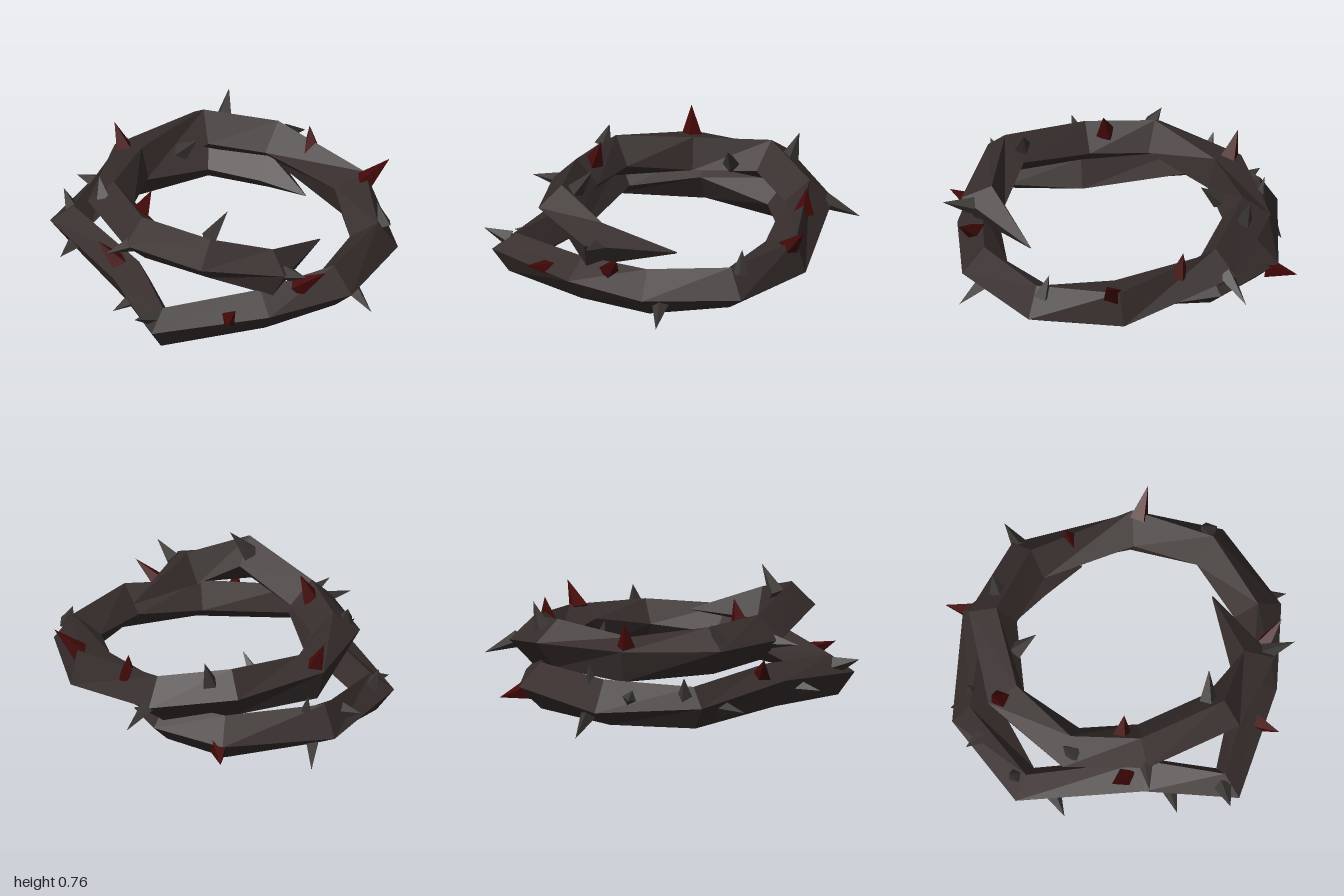
import * as THREE from 'three';

const bark = new THREE.MeshStandardMaterial({ name: 'darkBark', color: 0x372e2d, flatShading: true });
const greyThorn = new THREE.MeshStandardMaterial({ name: 'greyThorn', color: 0x3b3735, flatShading: true });
const redThorn = new THREE.MeshStandardMaterial({ name: 'redThorn', color: 0x440909, flatShading: true });

// Vine stations: x, y, z, radius, twist in degrees. Two turns, pointed at both ends.
const STATIONS = [
  [0.57, 0.41, -0.14, 0.004, 15],
  [0.63, 0.45, 0.31, 0.13, 20],
  [0.37, 0.54, 0.54, 0.13, 0],
  [-0.11, 0.46, 0.55, 0.13, 0],
  [-0.48, 0.45, 0.41, 0.13, 8],
  [-0.7, 0.41, 0.0, 0.13, 30],
  [-0.6, 0.44, -0.46, 0.135, 8],
  [-0.29, 0.37, -0.72, 0.135, 0],
  [0.31, 0.31, -0.7, 0.14, -30],
  [0.68, 0.28, -0.46, 0.135, -10],
  [0.79, 0.27, -0.02, 0.135, 0],
  [0.62, 0.24, 0.38, 0.12, 8],
  [0.28, 0.19, 0.83, 0.115, 10],
  [-0.13, 0.2, 0.62, 0.12, 20],
  [-0.76, 0.19, 0.43, 0.115, 8],
  [-0.86, 0.2, -0.05, 0.14, -15],
  [-0.62, 0.2, -0.54, 0.13, 0],
  [-0.27, 0.2, -0.66, 0.108, 0],
  [0.0, 0.17, -0.65, 0.004, 0],
];

// Square-section vine swept through the stations
function vineGeometry() {
  const sides = 4, pos = [], index = [];
  const pts = STATIONS.map(s => new THREE.Vector3(s[0], s[1], s[2]));
  const up = new THREE.Vector3(0, 1, 0);
  pts.forEach((p, i) => {
    const before = p.clone().sub(pts[Math.max(i - 1, 0)]).normalize();
    const after = pts[Math.min(i + 1, pts.length - 1)].clone().sub(p).normalize();
    const t = before.add(after).normalize();
    const out = up.clone().cross(t).normalize();
    const top = t.clone().cross(out);
    const [, , , r, twist] = STATIONS[i];
    for (let k = 0; k < sides; k++) {
      const a = k * 2 * Math.PI / sides + THREE.MathUtils.degToRad(twist);
      const v = p.clone().addScaledVector(out, r * Math.cos(a)).addScaledVector(top, r * Math.sin(a));
      pos.push(v.x, v.y, v.z);
    }
  });
  for (let i = 0; i < pts.length - 1; i++) {
    for (let k = 0; k < sides; k++) {
      const a = i * sides + k, b = i * sides + (k + 1) % sides;
      index.push(a, b, a + sides, b, b + sides, a + sides);
    }
  }
  const last = (pts.length - 1) * sides;
  index.push(0, 2, 1, 0, 3, 2, last, last + 1, last + 2, last, last + 2, last + 3);
  const g = new THREE.BufferGeometry();
  g.setAttribute('position', new THREE.Float32BufferAttribute(pos, 3));
  g.setIndex(index);
  g.computeVertexNormals();
  return g;
}

// Four-sided thorn from a base point to its tip, sunk a little into the vine
function thorn([bx, by, bz, tx, ty, tz], radius, material, name) {
  const base = new THREE.Vector3(bx, by, bz), tip = new THREE.Vector3(tx, ty, tz);
  const dir = tip.clone().sub(base).normalize();
  base.addScaledVector(dir, -0.03);
  const m = new THREE.Mesh(new THREE.ConeGeometry(radius, tip.distanceTo(base), 4), material);
  m.name = name;
  m.position.copy(base).lerp(tip, 0.5);
  m.quaternion.setFromUnitVectors(new THREE.Vector3(0, 1, 0), dir);
  return m;
}

// Base xyz, tip xyz
const RED = [
  [-0.67, 0.17, -0.63, -0.78, 0.15, -0.72],
  [-0.04, 0.44, -0.74, -0.06, 0.56, -0.75],
  [0.38, 0.42, -0.74, 0.46, 0.54, -0.83],
  [-0.75, 0.51, 0.02, -0.8, 0.64, 0.03],
  [0.74, 0.36, 0.2, 0.87, 0.47, 0.14],
  [-0.2, 0.56, 0.46, -0.17, 0.68, 0.42],
  [-0.25, 0.28, 0.62, -0.34, 0.39, 0.67],
  [0.56, 0.25, 0.59, 0.64, 0.29, 0.69],
];
const GREY = [
  [-0.3, 0.36, -0.83, -0.32, 0.28, -1.0],
  [-0.53, 0.44, -0.24, -0.43, 0.55, -0.24],
  [-0.53, 0.53, -0.58, -0.54, 0.65, -0.62],
  [0.69, 0.4, -0.52, 0.65, 0.5, -0.52],
  [0.87, 0.22, -0.1, 0.99, 0.14, -0.1],
  [0.74, 0.48, 0.29, 0.88, 0.53, 0.31],
  [0.31, 0.63, 0.46, 0.35, 0.76, 0.37],
];
const GREY_FRONT = [
  [-0.5, 0.53, 0.46, -0.54, 0.61, 0.44],
  [-0.13, 0.45, 0.64, -0.17, 0.45, 0.8],
  [-0.03, 0.18, 0.75, -0.04, 0.17, 0.88],
  [-0.63, 0.17, 0.55, -0.62, 0.15, 0.67],
  [0.24, 0.26, 0.88, 0.23, 0.3, 1.0],
  [-0.84, 0.28, -0.15, -0.87, 0.41, -0.15],
  [-0.9, 0.12, -0.15, -0.95, 0.0, -0.2],
  [-0.9, 0.24, 0.1, -0.99, 0.25, 0.13],
  [-0.8, 0.27, 0.39, -0.84, 0.37, 0.4],
];

export function createModel() {
  const group = new THREE.Group();
  group.name = 'thornyWreath';
  const vine = new THREE.Mesh(vineGeometry(), bark);
  vine.name = 'vine';
  group.add(vine);
  RED.forEach((t, i) => group.add(thorn(t, 0.058, redThorn, `redThorn${i + 1}`)));
  [...GREY, ...GREY_FRONT].forEach((t, i) => group.add(thorn(t, 0.05, greyThorn, `greyThorn${i + 1}`)));
  return group;
}
